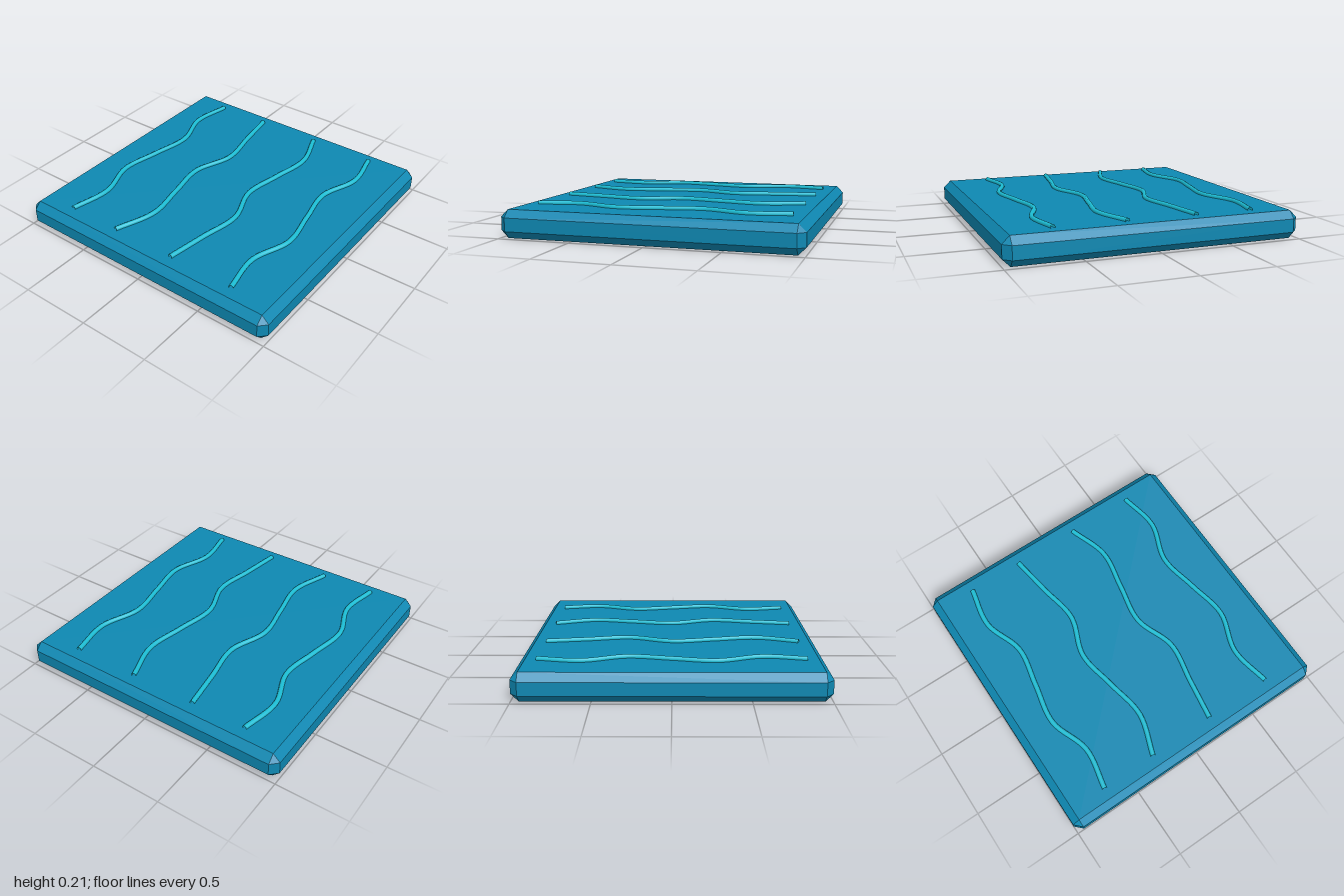
import * as THREE from 'three';
import { ConvexGeometry } from 'three/addons/geometries/ConvexGeometry.js';

// Box with every edge cut at 45 degrees and triangular corners
function chamferedBox(w, h, d, c) {
  const points = [];
  for (const x of [-w / 2, w / 2]) for (const y of [-h / 2, h / 2]) for (const z of [-d / 2, d / 2]) {
    const sx = Math.sign(x) * c, sy = Math.sign(y) * c, sz = Math.sign(z) * c;
    points.push(
      new THREE.Vector3(x, y - sy, z - sz),
      new THREE.Vector3(x - sx, y, z - sz),
      new THREE.Vector3(x - sx, y - sy, z)
    );
  }
  return new ConvexGeometry(points);
}

export function createModel() {
  const model = new THREE.Group();
  model.name = 'waterTile';

  const slabMaterial = new THREE.MeshStandardMaterial({ color: 0x0e88b2, flatShading: true });
  const waveMaterial = new THREE.MeshStandardMaterial({ color: 0x1cbfd6, side: THREE.DoubleSide });

  // Slab
  const slab = new THREE.Mesh(chamferedBox(2, 0.19, 2, 0.05), slabMaterial);
  slab.name = 'slab';
  slab.position.y = 0.095;
  model.add(slab);

  // Wavy ripples: centre z, phase and direction of travel in thirds of a wave
  const ripples = [
    { z: -0.695, phase: 0, dir: 1 },
    { z: -0.253, phase: -1, dir: -1 },
    { z: 0.225, phase: -1, dir: 1 },
    { z: 0.665, phase: 0, dir: -1 },
  ];
  ripples.forEach(({ z, phase, dir }, i) => {
    const points = [];
    for (let k = 0; k <= 6; k++) {
      const angle = (phase + dir * k) * Math.PI * 2 / 3;
      points.push(new THREE.Vector3(-0.873 + k * 0.291, 0, z + 0.052 * Math.sin(angle)));
    }
    const curve = new THREE.CatmullRomCurve3(points);
    const ripple = new THREE.Mesh(new THREE.TubeGeometry(curve, 48, 0.017, 8), waveMaterial);
    ripple.name = `ripple${i + 1}`;
    ripple.position.y = 0.197;
    model.add(ripple);
  });

  return model;
}
